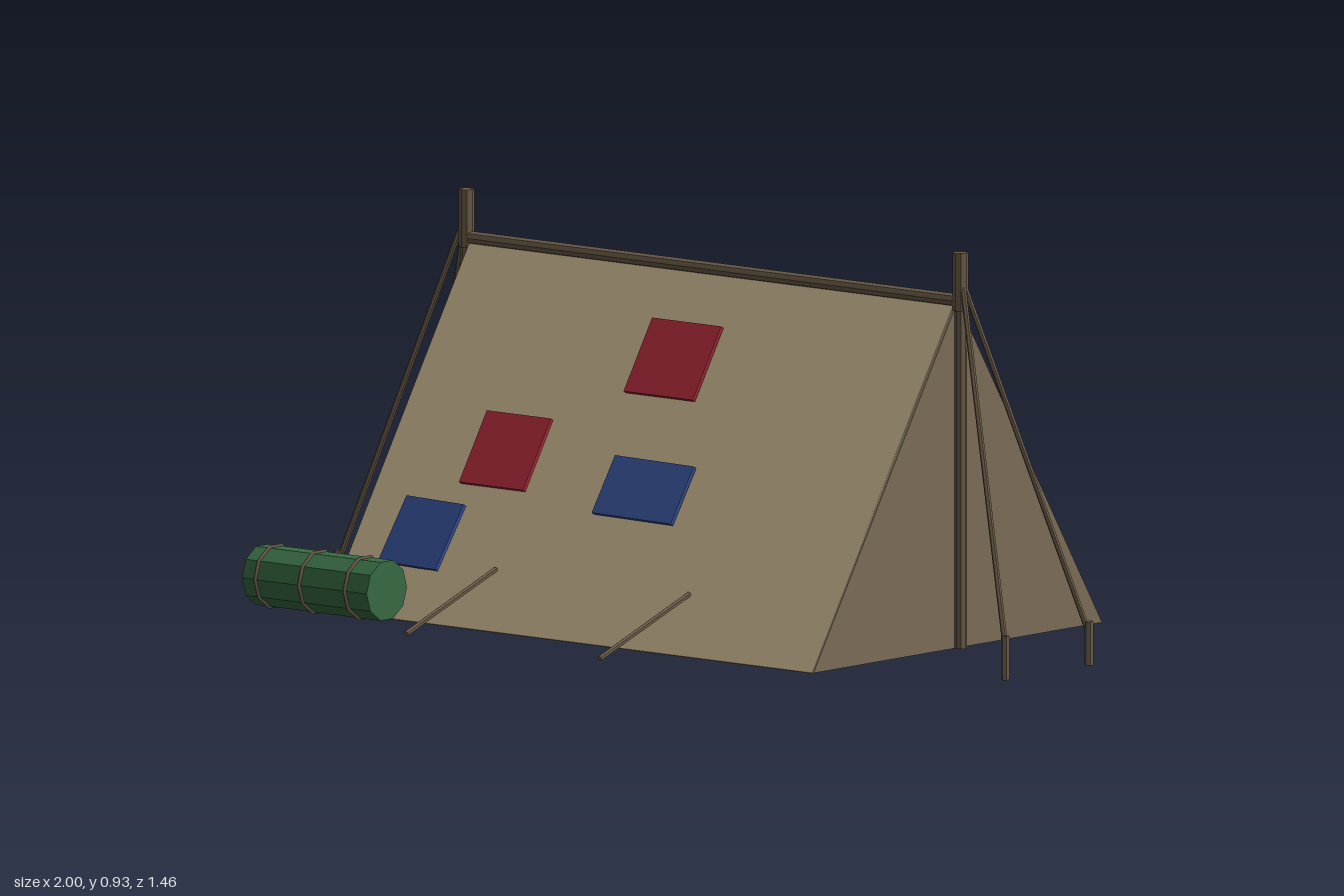
import * as THREE from 'three';

const mat = (name, color, side = THREE.FrontSide) => {
  const m = new THREE.MeshStandardMaterial({ color, side });
  m.name = name;
  return m;
};

export function createModel() {
  const tan = mat('tan canvas', 0xb5a482, THREE.DoubleSide);
  const brown = mat('brown canvas', 0x7c6d57, THREE.DoubleSide);
  const wood = mat('wood', 0x6a5b48);
  const red = mat('red cloth', 0xa02636);
  const blue = mat('blue cloth', 0x344c8e);
  const green = mat('green bedroll', 0x376a42);
  const dark = mat('dark interior', 0x080808, THREE.DoubleSide);

  const root = new THREE.Group();
  root.name = 'tent';
  const V = (x, y, z) => new THREE.Vector3(x, y, z);
  const add = (name, geo, material, parent = root) => {
    const m = new THREE.Mesh(geo, material);
    m.name = name;
    parent.add(m);
    return m;
  };
  // Straight rod between two points
  const rod = (name, a, b, r, sides = 6, material = wood) => {
    const g = new THREE.CylinderGeometry(r, r, a.distanceTo(b), sides).toNonIndexed();
    g.computeVertexNormals();
    const m = add(name, g, material);
    m.position.copy(a).lerp(b, 0.5);
    m.quaternion.setFromUnitVectors(V(0, 1, 0), b.clone().sub(a).normalize());
    return m;
  };
  // Flat three-cornered sheet
  const sheet = (name, a, b, c, material) => {
    const g = new THREE.BufferGeometry().setFromPoints([a, b, c]);
    g.computeVertexNormals();
    return add(name, g, material);
  };

  const RIDGE = 0.82, BASE = 0.03, HALF = 0.5, END = 0.72;
  const slope = Math.hypot(RIDGE - BASE, HALF);
  const lean = Math.atan2(HALF, RIDGE - BASE);

  // Sloping walls: local y runs up the canvas, local z points outwards
  const wall = (name, turn) => {
    const side = new THREE.Group();
    side.name = name;
    side.rotation.y = turn;
    const face = new THREE.Group();
    face.name = name + 'Face';
    face.position.set(0, BASE, HALF);
    face.rotation.x = -lean;
    side.add(face);
    root.add(side);
    add(name + 'Canvas', new THREE.BoxGeometry(2 * END, slope, 0.005), tan, face)
      .position.set(0, slope / 2, -0.0025);
    return face;
  };
  // Sewn patch: x and height of its middle, width, length up the slope, roll, tilt
  const patch = (face, material, x, y, w, h, top, roll = 0, tilt = 0) => {
    const t = 0.0095;
    const m = add('patch', new THREE.BoxGeometry(w, h, t), material, face);
    m.position.set(x, (y - BASE) / Math.cos(lean), top - t / 2);
    m.rotation.set(0, tilt, roll);
  };

  const front = wall('frontWall', 0);
  patch(front, red, -0.007, 0.625, 0.205, 0.185, 0.013);
  patch(front, red, -0.382, 0.397, 0.19, 0.18, 0.011);
  patch(front, blue, 0.052, 0.353, 0.24, 0.145, 0.012, -0.02, -0.02);
  patch(front, blue, -0.527, 0.208, 0.19, 0.165, 0.013, -0.06, -0.1);

  const back = wall('backWall', Math.PI);
  patch(back, brown, 0.095, 0.32, 0.23, 0.195, 0.012);
  patch(back, brown, -0.205, 0.565, 0.19, 0.14, 0.011);
  patch(back, brown, -0.295, 0.53, 0.2, 0.16, 0.01, 0.2, 0.06);
  patch(back, red, -0.4, 0.608, 0.225, 0.185, 0.0124, -0.14);

  // Closed end
  const tri = new THREE.Shape([
    new THREE.Vector2(-HALF, BASE), new THREE.Vector2(HALF, BASE), new THREE.Vector2(0, RIDGE)]);
  const closed = add('closedEnd', new THREE.ExtrudeGeometry(tri, { depth: 0.01, bevelEnabled: false }), brown);
  closed.rotation.y = Math.PI / 2;
  closed.position.x = END - 0.005;

  // Open end: one door half shut, the other swung out, darkness behind it
  sheet('shutDoor', V(-END, RIDGE, 0), V(-END, BASE, 0), V(-END, BASE, HALF), tan);
  sheet('openDoor', V(-0.73, 0.8, 0), V(-0.89, BASE, -0.35), V(-0.89, BASE, -0.06), tan);
  sheet('doorway', V(-END + 0.005, 0.77, 0), V(-END + 0.005, BASE, -0.435), V(-END + 0.005, BASE, 0), dark);

  // Ridge bar
  rod('ridgePole', V(-END, 0.822, 0), V(END, 0.822, 0), 0.015, 8);

  for (const sx of [-1, 1]) {
    // Upright poles with thicker heads
    rod('uprightPole', V(sx * 0.733, BASE, 0), V(sx * 0.733, 0.85, 0), 0.0145, 8);
    rod('poleHead', V(sx * 0.733, 0.8, 0), V(sx * 0.733, 0.932, 0), 0.018, 8);
    for (const sz of [-1, 1]) {
      // End guy ropes and their pegs
      rod('guyRope', V(sx * 0.738, 0.87, 0), V(sx * 0.988, 0.08, sz * 0.143), 0.0065);
      rod('peg', V(sx * 0.99, 0, sz * 0.145), V(sx * 0.99, 0.1, sz * 0.145), 0.01);
      // Side stakes
      rod('sideStake', V(sx * 0.287, 0.157, sz * 0.42), V(sx * 0.287, 0.046, sz * 0.73), 0.0065);
    }
  }

  // Bedroll with straps
  const ry = 0.105, rz = 0.56;
  rod('bedroll', V(-0.86, ry, rz), V(-0.49, ry, rz), 0.07, 10, green);
  for (const x of [-0.82, -0.69, -0.555]) {
    const strap = add('bedrollStrap', new THREE.TorusGeometry(0.071, 0.0045, 5, 10), wood);
    strap.rotation.y = Math.PI / 2;
    strap.position.set(x, ry, rz);
  }
  return root;
}
